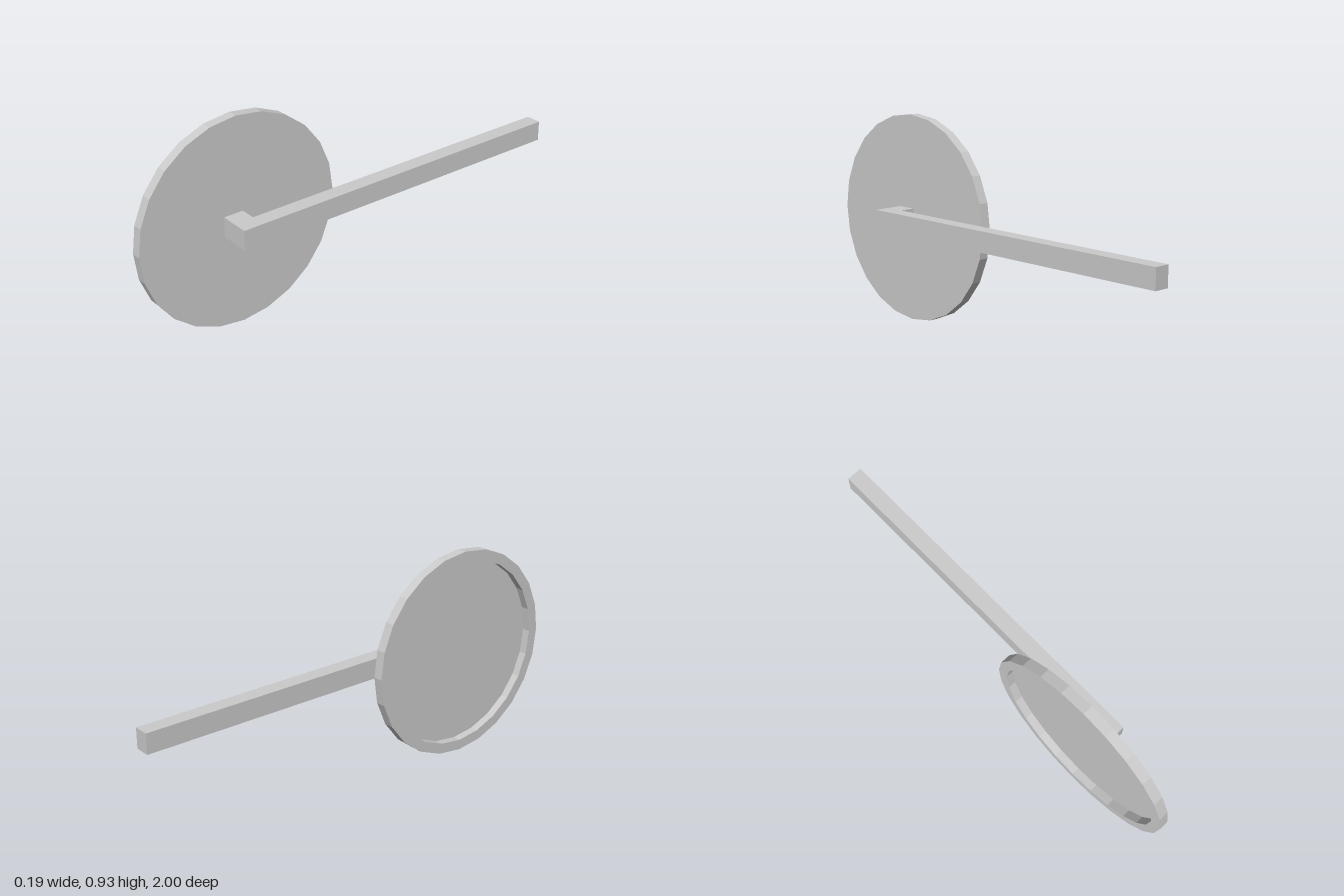
import * as THREE from 'three';

export function createModel() {
  const model = new THREE.Group();
  const material = new THREE.MeshStandardMaterial({ color: 0xcccccc, flatShading: true });

  // Shallow round dish, 24 sides, hollow towards -x
  const radius = 0.465, inner = 0.418, open = -0.093, floor = -0.057, back = -0.048;
  const profile = [
    [0, floor], [inner, floor], [inner, open], [radius, open], [radius, back], [0, back],
  ].map(([r, h]) => new THREE.Vector2(r, h));
  const dishGeometry = new THREE.LatheGeometry(profile, 24);
  dishGeometry.rotateZ(-Math.PI / 2);
  const dish = new THREE.Mesh(dishGeometry, material);
  dish.name = 'dish';
  dish.position.set(0, 0.465, 0.535);
  model.add(dish);

  // L-shaped arm: outline drawn in x and z, extruded downwards
  const outline = new THREE.Shape([
    [0.022, -1], [0.092, -1], [0.092, 0.61], [back, 0.61], [back, 0.52], [0.022, 0.52],
  ].map(([x, z]) => new THREE.Vector2(x, z)));
  const armGeometry = new THREE.ExtrudeGeometry(outline, { depth: 0.09, bevelEnabled: false });
  armGeometry.rotateX(Math.PI / 2);
  const arm = new THREE.Mesh(armGeometry, material);
  arm.name = 'arm';
  arm.position.y = 0.51;
  model.add(arm);

  return model;
}
